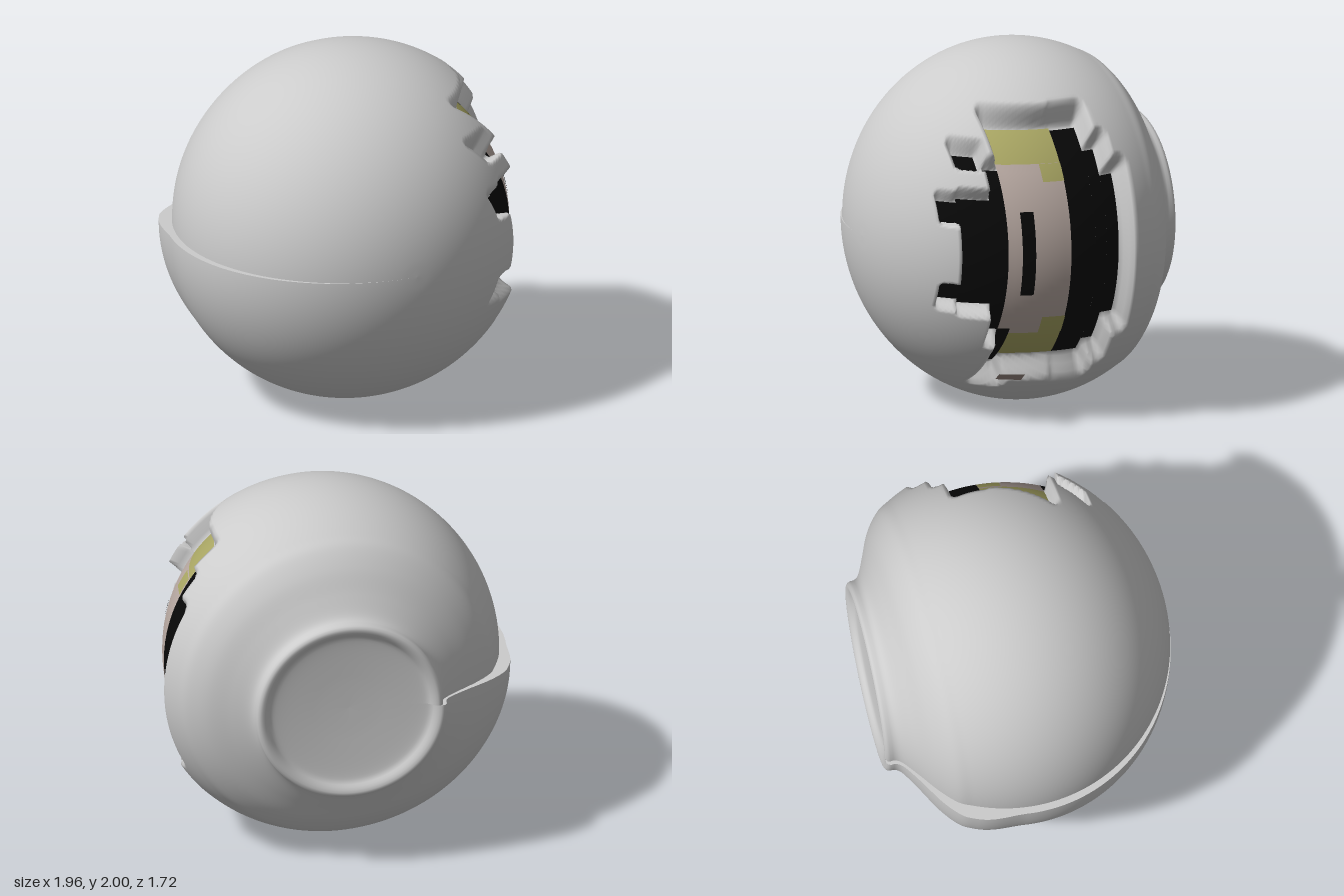
import * as THREE from 'three';

const CX = 0.04, CY = 1, FLOOR = 0.86;
const smooth = THREE.MathUtils.smoothstep;
const ellipse = z => Math.sqrt(Math.max(0, 1 - ((z + 0.08) / 0.93) ** 2));

// Grid surface: fn(u, v) gives a point, u and v run from 0 to 1
function gridSurface(nu, nv, fn) {
  const pos = [], idx = [];
  for (let j = 0; j <= nv; j++)
    for (let i = 0; i <= nu; i++) pos.push(...fn(i / nu, j / nv));
  for (let j = 0; j < nv; j++)
    for (let i = 0; i < nu; i++) {
      const a = j * (nu + 1) + i, c = a + nu + 1;
      idx.push(a, c, c + 1, a, c + 1, a + 1);
    }
  const g = new THREE.BufferGeometry();
  g.setAttribute('position', new THREE.Float32BufferAttribute(pos, 3));
  g.setIndex(idx);
  g.computeVertexNormals();
  return g;
}

// Radius/z profile: rounded front, tapering back, raised rim and shallow dish
const profilePoints = [];
for (let i = 0; i <= 24; i++) {
  const a = (i / 24) * 2.1;
  profilePoints.push(new THREE.Vector2(Math.sin(a), -0.08 + 0.93 * Math.cos(a)));
}
[[0.77, -0.63], [0.65, -0.7], [0.56, -0.755], [0.53, -0.79], [0.525, -0.83], [0.5, -0.845],
  [0.465, -0.83], [0.42, -0.805], [0.2, -0.79], [0, -0.785]]
  .forEach(([r, z]) => profilePoints.push(new THREE.Vector2(r, z)));
const ROWS = 190;
const profile = new THREE.SplineCurve(profilePoints).getSpacedPoints(ROWS);

// Stepped recess on the side: z0, z1, y0, y1, width of the sloping edge
const recess = [
  [0, 0.34, 0.38, 1.64, 0.04],
  [-0.15, 0, 0.38, 1.64, 0.05],
  [-0.22, 0, 0.46, 1.52, 0.05],
  [-0.3, 0, 0.62, 1.39, 0.06],
  [0.34, 0.41, 0.56, 1.45, 0.025],
  [0.34, 0.56, 0.72, 1.3, 0.025],
  [0.5, 0.64, 1.17, 1.28, 0.025],
  [0.5, 0.64, 0.74, 0.84, 0.025],
  [0.43, 0.53, 1.43, 1.51, 0.025],
  [0.27, 0.36, 0.32, 0.5, 0.025],
];
function recessAmount(z, y) {
  let m = 0;
  for (const [z0, z1, y0, y1, w] of recess) {
    const d = Math.hypot(Math.max(z0 - z, 0, z - z1), Math.max(y0 - y, 0, y - y1));
    m = Math.max(m, 1 - smooth(d, 0, w));
  }
  return m;
}

// Body point; the two ends of the angle differ, which makes the stepped seam
function bodyPoint(angle, row) {
  const { x: rho, y: z } = profile[row];
  const a = Math.abs(angle) / Math.PI;
  let f = 1 - 0.01 * (1 - smooth(a, 0, 0.4));
  if (angle < 0) {
    const back = 0.05 * smooth(-z, 0.2, 0.5) * (1 - smooth(-z, 0.6, 0.78));
    f += (0.02 + back) * smooth(a, 0.5, 1);
  } else f -= 0.02 * smooth(a, 0.5, 1);
  let r = Math.max(0, rho) * f;
  if (Math.cos(angle) > 0 && z > -0.42 && z < 0.75) {
    const m = recessAmount(z, CY + FLOOR * rho * Math.sin(angle));
    r += (FLOOR * rho - r) * m;
  }
  const tilt = 0.025 * Math.cos(angle) * smooth(-z, 0.6, 0.8) * Math.min(1, rho * 2);
  return [CX + r * Math.cos(angle), CY + r * Math.sin(angle), z + tilt];
}

// Curved coloured panel lying on the recess floor
function panelGeometry(z0, z1, y0, y1, scale) {
  return gridSurface(10, 24, (u, v) => {
    const z = z0 + (z1 - z0) * u, y = y0 + (y1 - y0) * v;
    const r = ellipse(z) * scale;
    return [CX + Math.sqrt(Math.max(0, r * r - (y - CY) ** 2)), y, z];
  });
}

const BLACK = 0x080808, CREAM = 0xb9aaa3, YELLOW = 0xaaa764, BROWN = 0x9a8a82;
const F1 = FLOOR + 0.006, F2 = FLOOR + 0.011;
const panels = [
  ['frontDarkPanel', BLACK, 0.34, 0.56, 0.72, 1.3, F1],
  ['frontDarkStepUpper', BLACK, 0.34, 0.41, 1.3, 1.45, F1],
  ['frontDarkStepLower', BLACK, 0.34, 0.41, 0.56, 0.72, F1],
  ['frontDarkNotchUpper', BLACK, 0.56, 0.64, 1.17, 1.28, F1],
  ['frontDarkNotchLower', BLACK, 0.56, 0.64, 0.74, 0.84, F1],
  ['upperDarkSpot', BLACK, 0.43, 0.53, 1.43, 1.51, F1],
  ['lowerDarkSpot', BLACK, 0.28, 0.35, 0.34, 0.56, F1],
  ['lightPanel', CREAM, 0, 0.34, 0.53, 1.48, F1],
  ['slit', BLACK, 0.2, 0.27, 0.77, 1.24, F2],
  ['upperYellowBand', YELLOW, 0, 0.34, 1.48, 1.64, F1],
  ['lowerYellowBand', YELLOW, 0, 0.28, 0.39, 0.53, F1],
  ['upperYellowCorner', YELLOW, 0, 0.12, 1.39, 1.48, F2],
  ['lowerYellowCorner', YELLOW, 0, 0.13, 0.53, 0.63, F2],
  ['backDarkPanel', BLACK, -0.15, 0, 0.39, 1.63, F1],
  ['backDarkStep', BLACK, -0.22, -0.15, 0.46, 1.52, F1],
  ['backDarkEdge', BLACK, -0.3, -0.22, 0.62, 1.39, F1],
  ['lowerBrownPatch', BROWN, 0.17, 0.29, 0.24, 0.28, 0.995],
];

export function createModel() {
  const group = new THREE.Group();
  const add = (name, geometry, color, side = THREE.FrontSide) => {
    const mesh = new THREE.Mesh(geometry, new THREE.MeshStandardMaterial({ color, side }));
    mesh.name = name;
    group.add(mesh);
  };

  // Rounded body with recess, rim and dish
  add('body', gridSurface(320, ROWS, (u, v) =>
    bodyPoint((u * 2 - 1) * Math.PI, Math.round(v * ROWS))), 0xcccccc);

  // Narrow ledge joining the two sides of the seam
  add('seamLedge', gridSurface(1, ROWS, (u, v) =>
    bodyPoint(u ? -Math.PI : Math.PI, Math.round(v * ROWS))), 0xcccccc, THREE.DoubleSide);

  // Coloured panels inside the recess
  for (const [name, color, ...rect] of panels) add(name, panelGeometry(...rect), color);

  return group;
}
